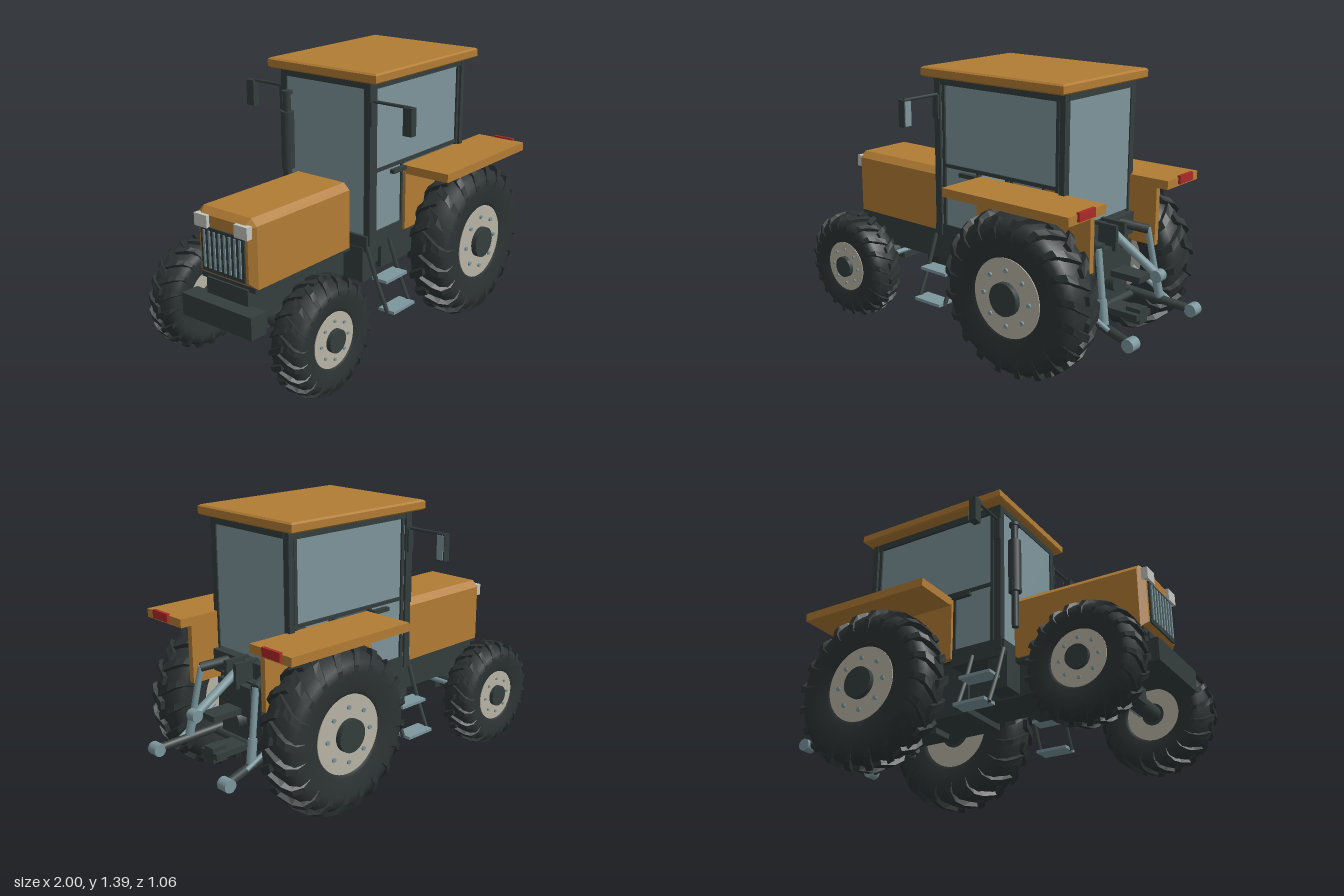
import * as THREE from 'three';

const mat = (name, color) => {
  const m = new THREE.MeshStandardMaterial({ color });
  m.name = name;
  return m;
};

export function createModel() {
  const model = new THREE.Group();
  const orange = mat('orange paint', 0xb27c34), dark = mat('dark frame', 0x343d3d), rubber = mat('tyre rubber', 0x2d3333);
  const glass = mat('glass', 0x7d959b), steel = mat('light steel', 0x7b979d), beige = mat('beige rim', 0xb9b4a5);
  const red = mat('red lamp', 0xab2a28), lamp = mat('pale lamp', 0xc3c5bf);

  const add = (name, geo, material, parent = model) => {
    const mesh = new THREE.Mesh(geo, material);
    mesh.name = name;
    parent.add(mesh);
    return mesh;
  };
  // box given by its extents on each axis
  const box = (name, m, x0, x1, y0, y1, z0, z1, parent) => {
    const mesh = add(name, new THREE.BoxGeometry(x1 - x0, y1 - y0, z1 - z0), m, parent);
    mesh.position.set((x0 + x1) / 2, (y0 + y1) / 2, (z0 + z1) / 2);
    return mesh;
  };
  // the same box on both sides
  const pair = (name, m, x0, x1, y0, y1, z0, z1) => {
    box(name, m, x0, x1, y0, y1, z0, z1);
    box(name, m, x0, x1, y0, y1, -z1, -z0);
  };
  // round bar between two points
  const rod = (name, m, a, b, r, sides = 12, parent = model) => {
    const p = new THREE.Vector3(...a), q = new THREE.Vector3(...b);
    const mesh = add(name, new THREE.CylinderGeometry(r, r, p.distanceTo(q), sides), m, parent);
    mesh.position.copy(p).add(q).multiplyScalar(0.5);
    mesh.quaternion.setFromUnitVectors(new THREE.Vector3(0, 1, 0), q.sub(p).normalize());
    return mesh;
  };

  // one tread lug, swept from the tyre centre over the shoulder
  const lugGeometry = (side, start) => {
    const stations = [[-0.012, 0.411, 0], [0.055, 0.408, 0.1], [0.092, 0.388, 0.17], [0.113, 0.335, 0.22]];
    const pos = [], idx = [];
    stations.forEach(([z, r, turn], i) => {
      const w = 0.052 - i * 0.003;
      [[r - 0.05, -w * 1.25], [r, -w], [r, w], [r - 0.05, w * 1.25]].forEach(([rad, da]) => {
        const a = start + turn + da;
        pos.push(rad * Math.cos(a), rad * Math.sin(a), z * side);
      });
    });
    const quad = (a, b, c, d) => (side > 0 ? idx.push(a, b, c, a, c, d) : idx.push(a, c, b, a, d, c));
    for (let i = 0; i < 3; i++) {
      for (let j = 0; j < 4; j++) {
        const k = (j + 1) % 4;
        quad(i * 4 + j, i * 4 + k, i * 4 + 4 + k, i * 4 + 4 + j);
      }
    }
    quad(3, 2, 1, 0);
    quad(12, 13, 14, 15);
    const g = new THREE.BufferGeometry();
    g.setAttribute('position', new THREE.Float32BufferAttribute(pos, 3));
    g.setIndex(idx);
    const flat = g.toNonIndexed();
    flat.computeVertexNormals();
    return flat;
  };

  const makeWheel = () => {
    const wheel = new THREE.Group();
    const half = [[0.19, 0.088], [0.21, 0.1], [0.3, 0.111], [0.345, 0.104], [0.375, 0.075], [0.388, 0]];
    const profile = [...half.slice(0, 5).map(([r, z]) => new THREE.Vector2(r, -z)),
      ...half.slice().reverse().map(([r, z]) => new THREE.Vector2(r, z))];
    add('tyre', new THREE.LatheGeometry(profile, 48).rotateX(Math.PI / 2), rubber, wheel);
    const count = 20, step = Math.PI * 2 / count;
    const lugs = [lugGeometry(1, 0), lugGeometry(-1, step / 2)];
    for (let i = 0; i < count; i++) {
      lugs.forEach(g => { add('treadLug', g, rubber, wheel).rotation.z = i * step; });
    }
    rod('rim', beige, [0, 0, -0.085], [0, 0, 0.094], 0.193, 40, wheel);
    rod('hub', dark, [0, 0, -0.09], [0, 0, 0.122], 0.08, 24, wheel);
    for (let i = 0; i < 8; i++) {
      const a = i * Math.PI / 4, x = 0.135 * Math.cos(a), y = 0.135 * Math.sin(a);
      rod('wheelBolt', steel, [x, y, 0.09], [x, y, 0.103], 0.011, 8, wheel);
    }
    return wheel;
  };
  for (const s of [1, -1]) {
    for (const [name, x, y, z, k, kz] of [['rearWheel', 0.44, 0.412, 0.4075, 1, 1], ['frontWheel', -0.717, 0.288, 0.392, 0.69, 0.8]]) {
      const wheel = makeWheel();
      wheel.name = name;
      wheel.position.set(x, y, s * z);
      wheel.scale.set(k, k, kz);
      if (s < 0) wheel.rotation.y = Math.PI;
      model.add(wheel);
    }
  }

  // bonnet with chamfered edges
  const b = 0.03, section = new THREE.Shape();
  [[-0.15, 0.54], [0.15, 0.54], [0.15, 0.795], [0.135, 0.81], [-0.135, 0.81], [-0.15, 0.795]]
    .forEach(([z, y], i) => (i ? section.lineTo(z, y) : section.moveTo(z, y)));
  add('bonnet', new THREE.ExtrudeGeometry(section, { depth: 0.64, bevelSize: b, bevelThickness: b, bevelSegments: 1 })
    .rotateY(-Math.PI / 2), orange).position.x = -0.25;
  box('bonnetSill', dark, -0.9, -0.2, 0.49, 0.516, -0.17, 0.17);
  box('grille', dark, -0.928, -0.9, 0.54, 0.755, -0.135, 0.135);
  for (let i = 0; i < 8; i++) {
    const z = -0.112 + i * 0.032;
    box('grilleBar', steel, -0.933, -0.926, 0.56, 0.74, z - 0.006, z + 0.006);
  }
  pair('headlamp', lamp, -0.937, -0.905, 0.752, 0.812, 0.085, 0.165);

  // chassis, axles and driveline
  box('frontWeight', dark, -0.985, -0.89, 0.31, 0.42, -0.22, 0.22);
  box('frontFrame', dark, -0.91, 0.1, 0.33, 0.5, -0.13, 0.13);
  box('transmission', dark, 0.05, 0.66, 0.3, 0.61, -0.15, 0.15);
  box('cabFloor', dark, -0.23, 0.07, 0.5, 0.58, -0.27, 0.27);
  box('rearCabBase', dark, 0.06, 0.62, 0.58, 0.69, -0.255, 0.255);
  pair('sideTank', dark, -0.235, -0.13, 0.34, 0.52, 0.12, 0.25);
  rod('frontAxle', dark, [-0.717, 0.288, -0.36], [-0.717, 0.288, 0.36], 0.042, 16);
  box('frontAxleBlock', dark, -0.78, -0.65, 0.25, 0.37, -0.1, 0.1);
  rod('tieRod', steel, [-0.65, 0.3, -0.33], [-0.65, 0.3, 0.33], 0.013);
  rod('rearAxle', dark, [0.44, 0.412, -0.36], [0.44, 0.412, 0.36], 0.065, 20);
  rod('powerShaft', dark, [0.65, 0.41, 0], [0.71, 0.41, 0], 0.042, 16);
  box('hitchBlock', dark, 0.64, 0.7, 0.45, 0.6, -0.12, 0.12);
  box('hitchTongue', dark, 0.66, 0.86, 0.455, 0.485, -0.05, 0.05);
  box('drawbar', dark, 0.3, 0.86, 0.27, 0.3, -0.06, 0.06);
  box('drawbarClevis', dark, 0.78, 0.86, 0.245, 0.32, -0.032, 0.032);

  // cab glass
  pair('sideWindow', glass, -0.162, 0.545, 0.905, 1.3, 0.253, 0.262);
  pair('doorLowerGlass', glass, -0.162, 0.06, 0.585, 0.89, 0.253, 0.262);
  box('rearWindow', glass, 0.575, 0.584, 0.7, 1.31, -0.246, 0.246);
  box('windscreen', glass, -0.212, -0.203, 0.58, 1.31, -0.246, 0.246);

  // cab frame
  pair('frontPillar', dark, -0.218, -0.18, 0.53, 1.335, 0.242, 0.278);
  pair('doorEdge', dark, -0.172, -0.155, 0.57, 1.31, 0.245, 0.272);
  pair('doorHingeStrip', steel, -0.181, -0.171, 0.58, 1.3, 0.25, 0.266);
  pair('rearPillar', dark, 0.56, 0.59, 0.69, 1.335, 0.242, 0.278);
  pair('windowRearEdge', dark, 0.535, 0.552, 0.88, 1.31, 0.245, 0.272);
  pair('windowRail', dark, -0.17, 0.55, 0.888, 0.906, 0.245, 0.27);
  pair('windowTopRail', dark, -0.2, 0.58, 1.3, 1.335, 0.245, 0.275);
  pair('doorSill', dark, -0.18, 0.07, 0.565, 0.588, 0.245, 0.272);
  pair('doorRearEdge', dark, 0.05, 0.064, 0.57, 0.9, 0.245, 0.27);
  pair('doorHandle', dark, -0.045, 0.06, 0.86, 0.88, 0.27, 0.295);
  for (const x of [-0.205, 0.58]) box('crossRail', dark, x - 0.012, x + 0.012, 1.305, 1.335, -0.25, 0.25);
  pair('workLamp', dark, -0.22, -0.185, 1.13, 1.25, 0.272, 0.288);
  box('roofLining', dark, -0.215, 0.588, 1.325, 1.345, -0.27, 0.27);

  // roof with a small bevel
  const roofShape = new THREE.Shape();
  [[-0.24, -0.325], [0.61, -0.325], [0.61, 0.325], [-0.24, 0.325]]
    .forEach(([x, z], i) => (i ? roofShape.lineTo(x, z) : roofShape.moveTo(x, z)));
  add('roof', new THREE.ExtrudeGeometry(roofShape, { depth: 0.034, bevelSize: 0.01, bevelThickness: 0.008, bevelSegments: 1 })
    .rotateX(-Math.PI / 2), orange).position.y = 1.348;

  // mudguards and tail lamps
  pair('mudguardTop', orange, 0.07, 0.805, 0.832, 0.875, 0.255, 0.53);
  pair('mudguardWall', orange, 0.065, 0.745, 0.54, 0.84, 0.255, 0.285);
  pair('tailLamp', red, 0.8, 0.817, 0.842, 0.884, 0.35, 0.468);

  // exhaust
  rod('exhaustPipe', dark, [-0.257, 0.66, -0.205], [-0.257, 1.24, -0.205], 0.018, 14);
  rod('muffler', dark, [-0.257, 0.85, -0.205], [-0.257, 1.14, -0.205], 0.033, 18);
  rod('exhaustCap', dark, [-0.257, 1.228, -0.205], [-0.257, 1.243, -0.205], 0.028, 14);

  for (const s of [1, -1]) {
    // mirrors
    rod('mirrorArm', dark, [-0.2, 1.25, s * 0.26], [-0.2, 1.25, s * 0.5], 0.008, 8);
    box('mirrorShell', dark, -0.222, -0.184, 1.12, 1.252, s * 0.491 - 0.024, s * 0.491 + 0.024);
    box('mirrorGlass', glass, -0.184, -0.18, 1.126, 1.246, s * 0.491 - 0.019, s * 0.491 + 0.019);

    // boarding steps
    for (const x of [-0.228, -0.052]) {
      rod('stepRail', dark, [x, 0.53, s * 0.27], [x, 0.37, s * 0.33], 0.011, 6);
      rod('stepRail', dark, [x, 0.37, s * 0.33], [x, 0.215, s * 0.4], 0.011, 6);
    }
    box('upperStep', steel, -0.225, -0.055, 0.365, 0.38, s * 0.345 - 0.045, s * 0.345 + 0.045);
    box('lowerStep', steel, -0.225, -0.055, 0.215, 0.23, s * 0.39 - 0.047, s * 0.39 + 0.047);

    // three-point hitch
    rod('lowerLink', dark, [0.6, 0.31, s * 0.19], [0.955, 0.262, s * 0.265], 0.022);
    rod('lowerLinkEye', steel, [0.967, 0.26, s * 0.24], [0.967, 0.26, s * 0.298], 0.032, 18);
    rod('liftArm', dark, [0.6, 0.66, s * 0.14], [0.74, 0.635, s * 0.205], 0.023);
    rod('liftRod', steel, [0.735, 0.64, s * 0.205], [0.8, 0.29, s * 0.235], 0.016);
    rod('liftRodSleeve', steel, [0.777, 0.41, s * 0.225], [0.8, 0.29, s * 0.235], 0.022);
    rod('stabiliser', steel, [0.62, 0.4, s * 0.265], [0.84, 0.285, s * 0.255], 0.011);
    box('topBracket', dark, 0.58, 0.72, 0.58, 0.705, s * 0.035 - 0.01, s * 0.035 + 0.01);
  }
  rod('hitchCrossbar', dark, [0.66, 0.29, -0.24], [0.66, 0.29, 0.24], 0.02);
  rod('topLink', steel, [0.66, 0.665, 0], [0.925, 0.502, 0], 0.021);
  rod('topLinkEye', steel, [0.93, 0.5, -0.025], [0.93, 0.5, 0.025], 0.029, 18);

  return model;
}
